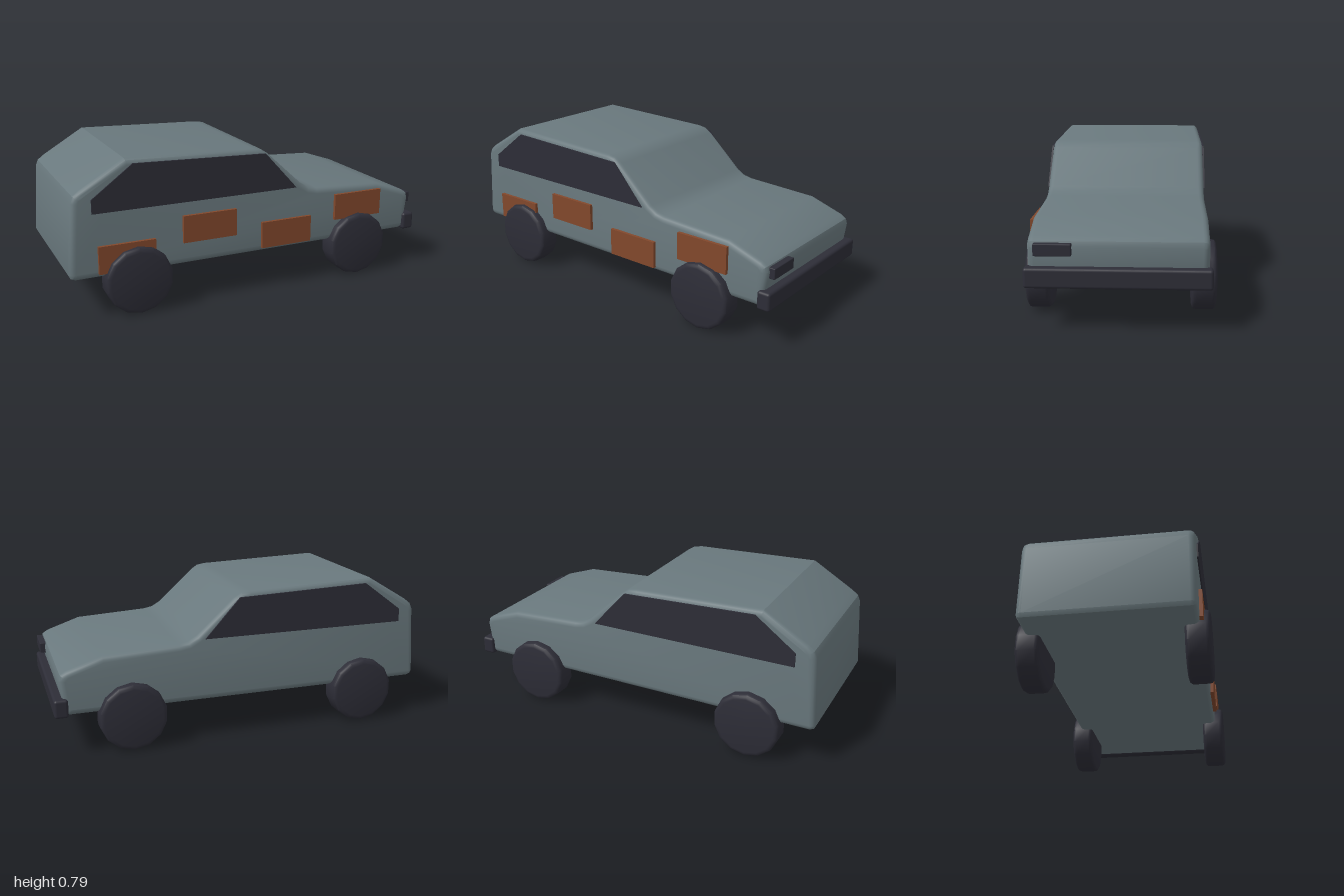
import * as THREE from 'three';
import { toCreasedNormals } from 'three/addons/utils/BufferGeometryUtils.js';
import { RoundedBoxGeometry } from 'three/addons/geometries/RoundedBoxGeometry.js';

const material = (name, color) => {
  const m = new THREE.MeshStandardMaterial({ color });
  m.name = name;
  return m;
};
const shapeOf = (points) => new THREE.Shape(points.map(([x, y]) => new THREE.Vector2(x, y)));

export function createModel() {
  const car = new THREE.Group();
  car.name = 'car';
  const paint = material('greyBluePaint', 0x69787d);
  const dark = material('darkTrim', 0x2d2d37);
  const rust = material('rust', 0x82482c);

  const add = (name, geometry, mat, x = 0, y = 0, z = 0) => {
    const mesh = new THREE.Mesh(geometry, mat);
    mesh.name = name;
    mesh.position.set(x, y, z);
    car.add(mesh);
    return mesh;
  };

  // Body: hatchback side profile, extruded across with a rounded edge
  const profile = shapeOf([
    [-0.97, 0.21], [0.92, 0.21], [0.94, 0.218], [0.947, 0.238],
    [0.967, 0.39], [0.958, 0.418], [0.93, 0.436], [0.75, 0.497],
    [0.36, 0.517], [0.31, 0.527], [0.265, 0.553], [0.065, 0.735],
    [0.027, 0.76], [-0.02, 0.768], [-0.705, 0.79], [-0.93, 0.655],
    [-0.962, 0.63], [-0.975, 0.598], [-1, 0.238], [-0.991, 0.218],
  ]);
  const bevel = 0.03, halfWidth = 0.413;
  const body = new THREE.ExtrudeGeometry(profile, {
    depth: 2 * (halfWidth - bevel), bevelThickness: bevel, bevelSize: bevel,
    bevelOffset: -bevel, bevelSegments: 4,
  });
  body.translate(0, 0, bevel - halfWidth);
  add('body', toCreasedNormals(body, 0.5), paint);

  // Side windows: one thin plate on each flank
  const windowShape = shapeOf([
    [-0.88, 0.54], [0.225, 0.54], [0.04, 0.742], [-0.67, 0.766], [-0.88, 0.61],
  ]);
  const windowGeometry = new THREE.ExtrudeGeometry(windowShape, { depth: 0.009, bevelEnabled: false });
  add('leftSideWindow', windowGeometry, dark, 0, 0, 0.411);
  add('rightSideWindow', windowGeometry, dark, 0, 0, -0.42);

  // Rust patches on one flank
  const patch = new THREE.BoxGeometry(0.292, 0.142, 0.02);
  [[-0.713, 0.304], [-0.274, 0.4], [0.167, 0.304], [0.61, 0.4]].forEach(([x, y], i) =>
    add(`rustPatch${i + 1}`, patch, rust, x, y, 0.42));

  // Front bumper and the single remaining headlight
  add('frontBumper', new RoundedBoxGeometry(0.07, 0.095, 0.856, 3, 0.014), dark, 0.963, 0.253, 0);
  add('headlight', new RoundedBoxGeometry(0.038, 0.056, 0.172, 2, 0.004), dark, 0.974, 0.383, 0.295);

  // Wheels: fourteen-sided discs with rounded shoulders
  const half = [[0.151, 0.06], [0.163, 0.057], [0.172, 0.049], [0.175, 0.037]];
  const section = [
    [0, -0.06], ...half.map(([r, h]) => [r, -h]), ...half.slice().reverse(), [0, 0.06],
  ].map(([r, h]) => new THREE.Vector2(r, h));
  const wheel = toCreasedNormals(new THREE.LatheGeometry(section, 14).rotateX(Math.PI / 2), 0.6);
  for (const [end, x] of [['rear', -0.66], ['front', 0.61]])
    for (const [side, z] of [['Left', 0.4], ['Right', -0.4]])
      add(`${end}${side}Wheel`, wheel, dark, x, 0.176, z);

  return car;
}
